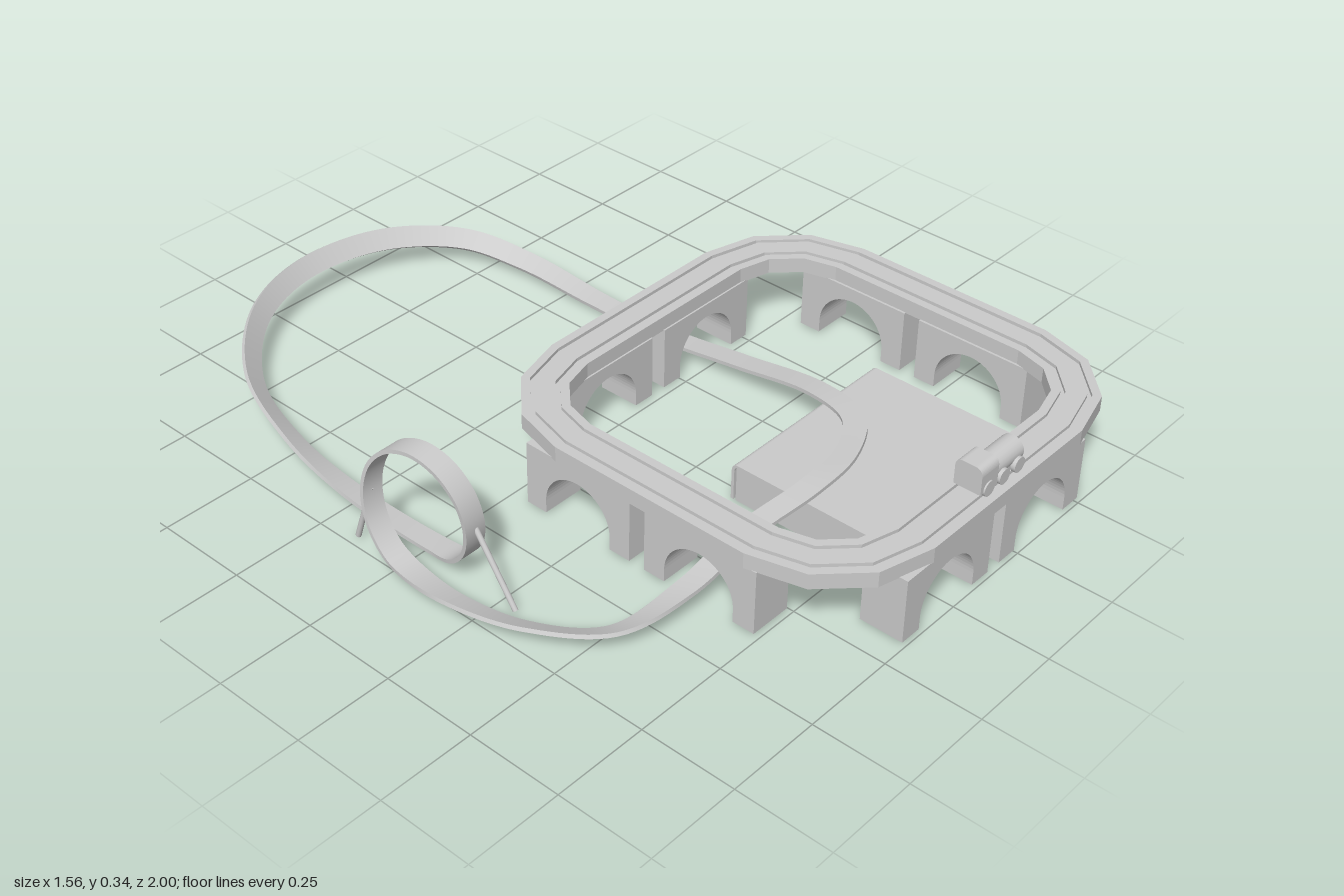
import * as THREE from 'three';

const mat = new THREE.MeshStandardMaterial({ color: 0xcccccc, side: THREE.DoubleSide });
const flatMat = new THREE.MeshStandardMaterial({ color: 0xcccccc, flatShading: true, side: THREE.DoubleSide });

function add(parent, name, geo, x = 0, y = 0, z = 0, m = mat) {
  const mesh = new THREE.Mesh(geo, m);
  mesh.name = name;
  mesh.position.set(x, y, z);
  parent.add(mesh);
  return mesh;
}

// Square loop with chamfered corners, moved inwards by d
function loopPoints(d) {
  const pts = [], r = 0.29 - d, hx = 0.285, hz = 0.277;
  [[1, 1], [-1, 1], [-1, -1], [1, -1]].forEach(([sx, sz], q) => {
    for (let i = 0; i <= 3; i++) {
      const a = q * Math.PI / 2 + i * Math.PI / 6;
      pts.push(new THREE.Vector2(sx * hx + r * Math.cos(a), sz * hz + r * Math.sin(a)));
    }
  });
  return pts;
}

// Flat band of the railway between two offsets, lying in the ground plane
function railBand(parent, name, d0, d1, y0, y1) {
  const shape = new THREE.Shape(loopPoints(d0));
  shape.holes.push(new THREE.Path(loopPoints(d1)));
  const geo = new THREE.ExtrudeGeometry(shape, { depth: y1 - y0, bevelEnabled: false });
  geo.rotateX(-Math.PI / 2);
  add(parent, name, geo, 0.2, y0, 0.424, flatMat);
}

// Bridge block with a round opening, 0.32 wide and 0.115 deep
function archGeometry() {
  const s = new THREE.Shape();
  s.moveTo(-0.16, 0).lineTo(-0.1, 0).lineTo(-0.1, 0.035);
  s.absarc(0, 0.035, 0.1, Math.PI, 0, true);
  s.lineTo(0.1, 0).lineTo(0.16, 0).lineTo(0.16, 0.172).lineTo(-0.16, 0.172);
  const geo = new THREE.ExtrudeGeometry(s, { depth: 0.115, bevelEnabled: false, curveSegments: 16 });
  return geo.translate(0, 0, -0.0575);
}

// Banked ribbon swept along a closed curve; sides holds the sideways directions
function ribbonGeometry(points, sides, width, thick, n) {
  const path = new THREE.CatmullRomCurve3(points, true);
  const sideCurve = new THREE.CatmullRomCurve3(sides, true);
  const pos = [], idx = [];
  for (let i = 0; i <= n; i++) {
    const t = (i % n) / n, p = path.getPoint(t), tan = path.getTangent(t);
    const side = sideCurve.getPoint(t).normalize();
    side.addScaledVector(tan, -side.dot(tan)).normalize();
    const up = new THREE.Vector3().crossVectors(side, tan).normalize();
    const c = [[1, 1], [-1, 1], [-1, -1], [1, -1]].map(([a, b]) =>
      p.clone().addScaledVector(side, a * width / 2).addScaledVector(up, b * thick / 2));
    for (let k = 0; k < 4; k++) pos.push(...c[k].toArray(), ...c[(k + 1) % 4].toArray());
    if (i < n) for (let k = 0; k < 4; k++) {
      const a = i * 8 + k * 2, b = a + 8;
      idx.push(a, b, a + 1, a + 1, b, b + 1);
    }
  }
  const geo = new THREE.BufferGeometry();
  geo.setAttribute('position', new THREE.Float32BufferAttribute(pos, 3));
  geo.setIndex(idx);
  geo.computeVertexNormals();
  return geo;
}

function buildRaceTrack() {
  // x, y, z and bank of the open stretch, from the loop exit round to its entry
  const course = [
    [-0.755, 0.03, 0.2, 0.3], [-0.715, 0.035, 0.38, 0.5], [-0.6, 0.04, 0.535, 0.45],
    [-0.4, 0.058, 0.57, 0.1], [-0.2, 0.092, 0.568, 0], [0, 0.112, 0.588, 0],
    [0.15, 0.115, 0.575, 0.1], [0.28, 0.113, 0.5, 0.1], [0.33, 0.1, 0.35, 0],
    [0.345, 0.055, 0.1, 0], [0.35, 0.018, -0.15, 0], [0.352, 0.015, -0.4, 0.1],
    [0.34, 0.035, -0.65, 0.4], [0.275, 0.065, -0.82, 0.8], [0.09, 0.095, -0.945, 1.3],
    [-0.15, 0.1, -0.982, 1.4], [-0.36, 0.088, -0.915, 1.3], [-0.53, 0.06, -0.74, 1],
    [-0.61, 0.035, -0.5, 0.6], [-0.64, 0.02, -0.25, 0.2],
  ];
  const v = course.map(([x, y, z]) => new THREE.Vector3(x, y, z));
  const up = new THREE.Vector3(0, 1, 0);
  const sides = v.map((p, i) => {
    const a = v[Math.max(i - 1, 0)], b = v[Math.min(i + 1, v.length - 1)];
    const s = new THREE.Vector3().subVectors(b, a).setY(0).cross(up).normalize();
    return s.addScaledVector(up, course[i][3]).normalize();
  });
  // Vertical loop, drifting sideways from entry to exit
  for (let i = 0; i <= 12; i++) {
    const a = i / 12 * Math.PI * 2;
    v.push(new THREE.Vector3(-0.645 - 0.1 * i / 12, 0.177 - 0.152 * Math.cos(a), 0.045 + 0.138 * Math.sin(a)));
    sides.push(new THREE.Vector3(-1, 0, 0));
  }
  return ribbonGeometry(v, sides, 0.058, 0.01, 330);
}

// Round pole between two points
function pole(parent, a, b) {
  const p = new THREE.Vector3(...a), q = new THREE.Vector3(...b), dir = q.clone().sub(p);
  const mesh = add(parent, 'loopSupport', new THREE.CylinderGeometry(0.007, 0.007, dir.length(), 10));
  mesh.position.copy(p).add(q).multiplyScalar(0.5);
  mesh.quaternion.setFromUnitVectors(new THREE.Vector3(0, 1, 0), dir.normalize());
}

export function createModel() {
  const model = new THREE.Group();
  model.name = 'trackSet';

  // Raised railway with two wheel grooves
  const railway = new THREE.Group();
  railway.name = 'railway';
  railBand(railway, 'railBed', 0, 0.118, 0.17, 0.202);
  [['outerRim', 0, 0.022], ['middleBand', 0.034, 0.084], ['innerRim', 0.096, 0.118]]
    .forEach(([name, a, b]) => railBand(railway, name, a, b, 0.202, 0.211));
  model.add(railway);

  // Two arches under each side
  const arch = archGeometry();
  for (const x of [-0.015, 0.35]) for (const z of [-0.078, 0.932]) add(model, 'archBridge', arch, x, 0, z);
  for (const x of [-0.313, 0.708]) for (const z of [0.21, 0.575])
    add(model, 'archBridge', arch, x, 0, z).rotation.y = Math.PI / 2;

  // Hollow platform, open below, with a slightly rounded back edge
  const platform = new THREE.Group();
  platform.name = 'platform';
  const wall = 0.008;
  add(platform, 'platformTop', new THREE.BoxGeometry(0.536, wall, 0.42), 0.23, 0.097, 0.615);
  add(platform, 'platformFront', new THREE.BoxGeometry(0.536, 0.1, wall), 0.23, 0.05, 0.821);
  for (const x of [-0.034, 0.494]) add(platform, 'platformEnd', new THREE.BoxGeometry(wall, 0.1, 0.42), x, 0.05, 0.615);
  const back = new THREE.Shape();
  back.moveTo(0.39, 0).lineTo(0.39, 0.08).quadraticCurveTo(0.391, 0.1, 0.406, 0.101);
  back.lineTo(0.406, 0.093).quadraticCurveTo(0.398, 0.092, 0.398, 0.08).lineTo(0.398, 0);
  const backGeo = new THREE.ExtrudeGeometry(back, { depth: 0.536, bevelEnabled: false, curveSegments: 6 });
  backGeo.rotateY(-Math.PI / 2).scale(1, 1, 1);
  add(platform, 'platformBack', backGeo, 0.498, 0, 0);
  model.add(platform);

  // Racing track with loop and its supports
  add(model, 'raceTrack', buildRaceTrack());
  pole(model, [-0.665, 0, 0.3], [-0.665, 0.17, 0.183]);
  pole(model, [-0.722, 0, -0.15], [-0.722, 0.17, -0.093]);

  // Small engine
  const train = new THREE.Group();
  train.name = 'train';
  add(train, 'chassis', new THREE.BoxGeometry(0.165, 0.018, 0.055), 0.197, 0.231, 0.932);
  const cab = new THREE.Shape();
  cab.moveTo(-0.036, 0.225).lineTo(0.036, 0.225).lineTo(0.036, 0.275);
  cab.quadraticCurveTo(0.034, 0.295, 0.016, 0.295).lineTo(-0.016, 0.295);
  cab.quadraticCurveTo(-0.034, 0.295, -0.036, 0.275);
  const cabGeo = new THREE.ExtrudeGeometry(cab, { depth: 0.064, bevelEnabled: false });
  add(train, 'cab', cabGeo.rotateY(Math.PI / 2), 0.112, 0, 0.932);
  const boiler = new THREE.CylinderGeometry(0.032, 0.032, 0.105, 20).rotateZ(Math.PI / 2);
  add(train, 'boiler', boiler, 0.23, 0.249, 0.932);
  for (const x of [0.142, 0.2, 0.258]) for (const s of [-1, 1])
    add(train, 'wheel', new THREE.CylinderGeometry(0.02, 0.02, 0.012, 16).rotateX(Math.PI / 2), x, 0.23, 0.932 + s * 0.034);
  model.add(train);

  return model;
}
